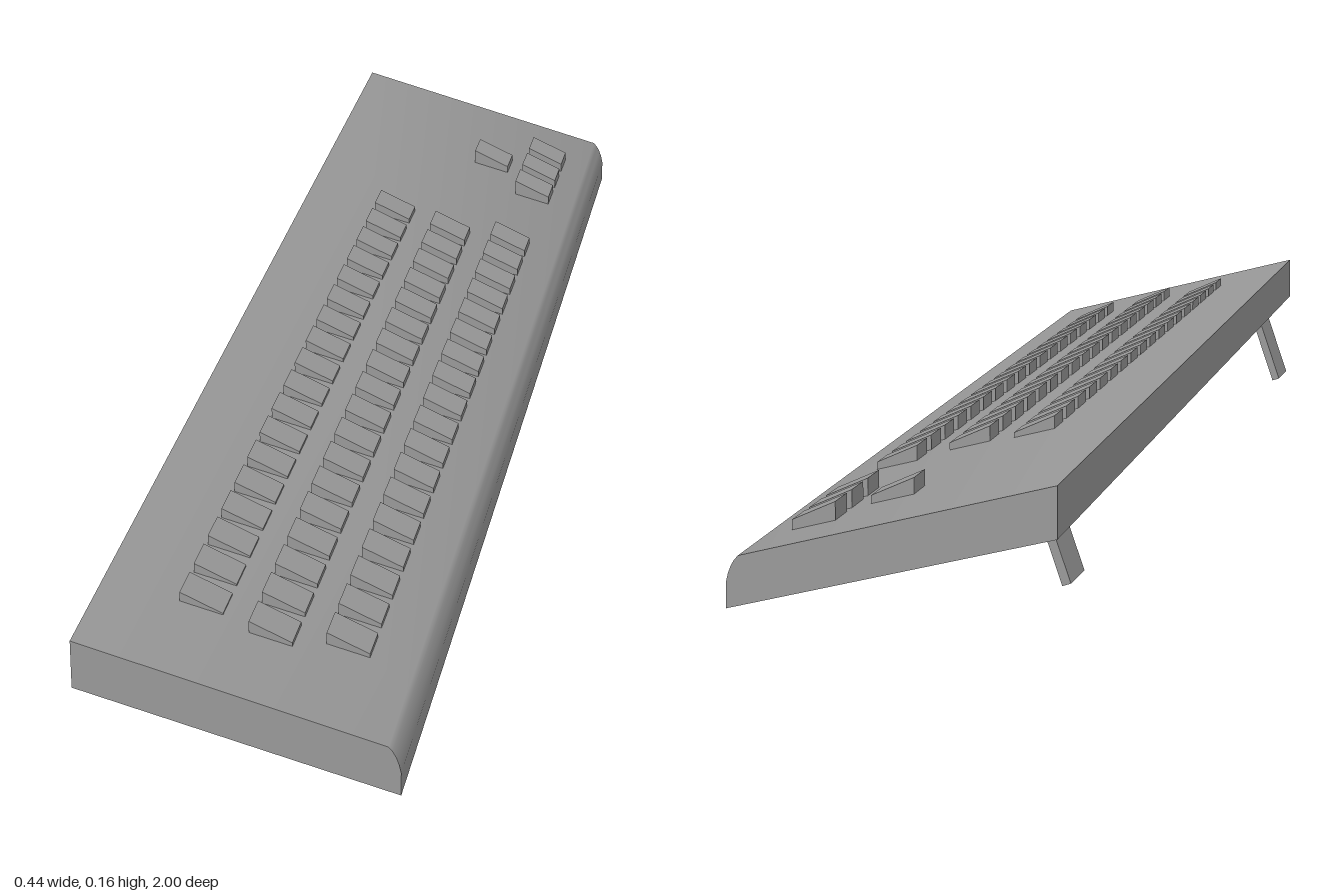
import * as THREE from 'three';
import { toCreasedNormals } from 'three/addons/utils/BufferGeometryUtils.js';

const material = new THREE.MeshStandardMaterial({ color: 0x999999 });

function addMesh(parent, name, geometry) {
  const mesh = new THREE.Mesh(geometry, material);
  mesh.name = name;
  parent.add(mesh);
  return mesh;
}

// Sloping case: side profile swept along z, skewed slightly off the z axis
function caseGeometry() {
  const profile = new THREE.Shape();
  profile.moveTo(-0.196, 0.101);
  profile.lineTo(0.196, 0.002);
  profile.lineTo(0.196, 0.032);
  profile.quadraticCurveTo(0.192, 0.055, 0.181, 0.065);
  profile.lineTo(-0.196, 0.163);
  profile.closePath();
  const geometry = new THREE.ExtrudeGeometry(profile, { depth: 2, bevelEnabled: false, curveSegments: 4 });
  geometry.translate(0, 0, -1);
  const p = geometry.attributes.position;
  for (let i = 0; i < p.count; i++) {
    p.setX(i, p.getX(i) + 0.026 * p.getZ(i));
    p.setY(i, p.getY(i) + 0.0015 * p.getZ(i));
  }
  // The top blends smoothly into the rounded front edge
  return toCreasedNormals(geometry, 0.75);
}

// Key cap with upright sides and a top that slopes more steeply than the case
function keyCapGeometry() {
  const geometry = new THREE.BoxGeometry(0.053, 0.03, 0.053).translate(0.0265, -0.015, 0);
  const p = geometry.attributes.position;
  for (let i = 0; i < p.count; i++) p.setY(i, p.getY(i) - 0.45 * p.getX(i));
  geometry.computeVertexNormals();
  return geometry;
}
const keyGeometry = keyCapGeometry();

// x and y give the middle of the raised edge
function addKey(parent, x, y, z) {
  const key = addMesh(parent, 'key', keyGeometry);
  key.position.set(x, y, z);
  key.rotation.y = 0.018;
}

export function createModel() {
  const model = new THREE.Group();
  model.name = 'keyboard';
  addMesh(model, 'case', caseGeometry());

  // Three rows of eighteen keys
  const rows = [
    { x: -0.0965, y: 0.152, z: -0.474 },
    { x: -0.0075, y: 0.132, z: -0.455 },
    { x: 0.081, y: 0.109, z: -0.487 },
  ];
  rows.forEach((row) => {
    const group = new THREE.Group();
    group.name = 'keyRow';
    for (let i = 0; i < 18; i++) {
      const z = row.z + i * 0.0755;
      addKey(group, row.x + 0.018 * z, row.y, z);
    }
    model.add(group);
  });

  // Arrow key cluster
  const arrows = new THREE.Group();
  arrows.name = 'arrowKeys';
  for (const z of [-0.862, -0.788, -0.714]) addKey(arrows, 0.084 + 0.015 * z, 0.109, z);
  addKey(arrows, -0.005, 0.127, -0.788);
  model.add(arrows);

  // Fold-out feet under the raised long edge
  const footGeometry = new THREE.BoxGeometry(0.011, 0.105, 0.075).translate(0, 0.0525, 0);
  for (const z of [0.76, -0.78]) {
    const foot = addMesh(model, 'foot', footGeometry);
    foot.position.set(-0.192, 0.006, z);
    foot.rotation.z = -0.33;
  }
  return model;
}
